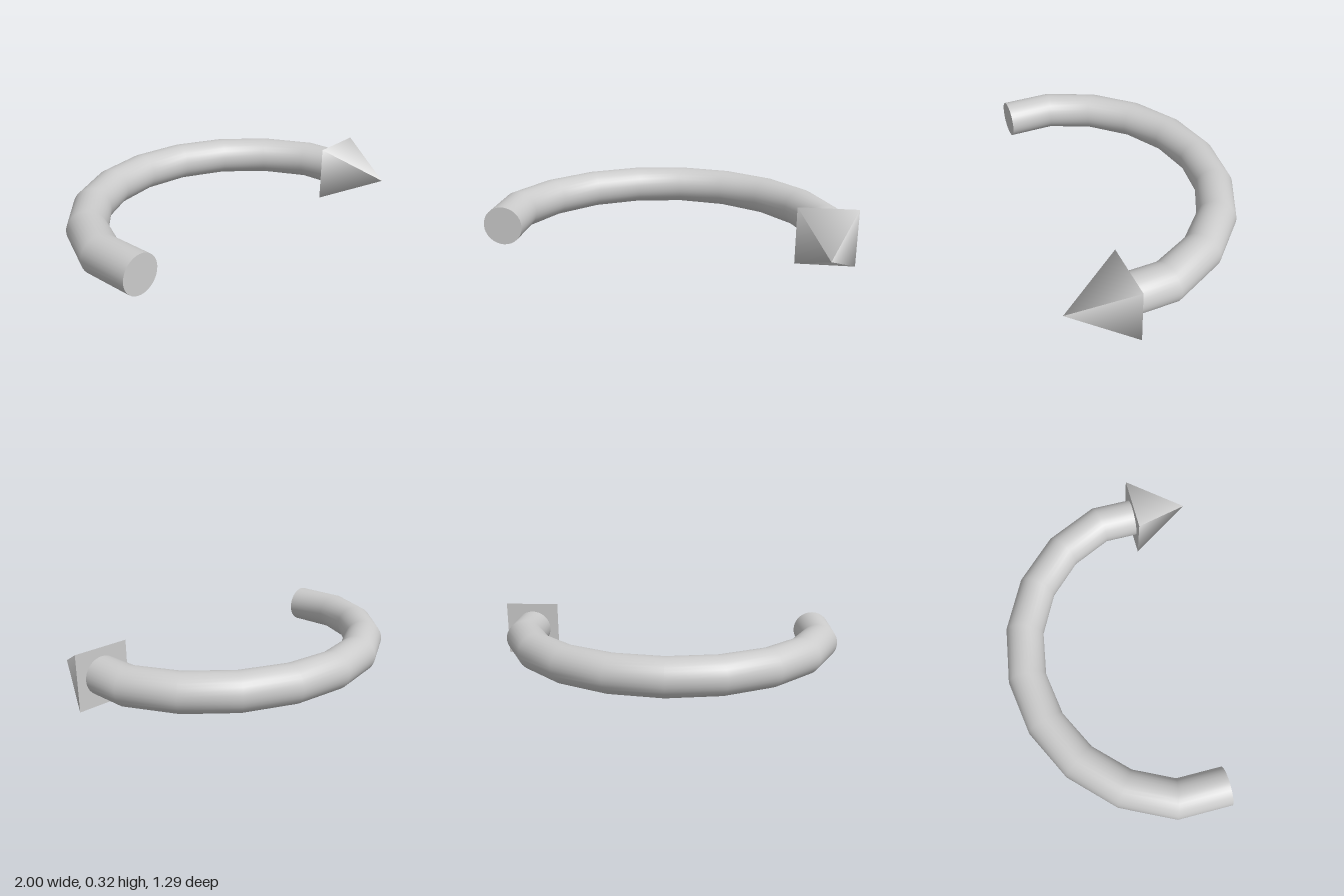
import * as THREE from 'three';

const MID_X = -0.026, MID_Y = 0.16, RADIUS = 0.107, SIDES = 32;

// Sweeps a round section along a flat polyline of [x, z] points, mitring each bend
function sweptTube(points) {
  const path = points.map(([x, z]) => new THREE.Vector3(x, MID_Y, z));
  const last = path.length - 1;
  const dir = i => path[i + 1].clone().sub(path[i]).normalize();
  const position = [], index = [];
  path.forEach((p, i) => {
    const before = dir(Math.max(i - 1, 0)), after = dir(Math.min(i, last - 1));
    const t = before.clone().add(after).normalize();
    const wide = RADIUS / t.dot(after);
    for (let j = 0; j < SIDES; j++) {
      const a = j / SIDES * Math.PI * 2, out = Math.cos(a) * wide;
      position.push(p.x + t.z * out, p.y + Math.sin(a) * RADIUS, p.z - t.x * out);
      if (i < last) {
        const k = (j + 1) % SIDES, r = i * SIDES, s = r + SIDES;
        index.push(r + j, r + k, s + j, r + k, s + k, s + j);
      }
    }
  });
  const geometry = new THREE.BufferGeometry();
  geometry.setAttribute('position', new THREE.Float32BufferAttribute(position, 3));
  geometry.setIndex(index);
  geometry.computeVertexNormals();
  return geometry;
}

export function createModel() {
  const group = new THREE.Group();
  const material = new THREE.MeshStandardMaterial({ color: 0xcccccc });
  const add = (name, geometry, x = 0, y = 0, z = 0) => {
    const mesh = new THREE.Mesh(geometry, material);
    mesh.name = name;
    mesh.position.set(x, y, z);
    group.add(mesh);
  };

  // Curved shaft: half the bend as offsets from the middle, mirrored for the other half
  const half = [[0.867, 0.10], [0.743, -0.158], [0.541, -0.362], [0.285, -0.492]];
  const path = [
    [MID_X - 0.867, 0.38],
    ...half.map(([x, z]) => [MID_X - x, z]),
    [MID_X, -0.537],
    ...half.slice().reverse().map(([x, z]) => [MID_X + x, z]),
    [MID_X + 0.867, 0.31],
  ];
  add('curvedShaft', sweptTube(path));

  // Flat end of the tail
  add('tailCap', new THREE.CircleGeometry(RADIUS, SIDES), MID_X - 0.867, MID_Y, 0.38);

  // Square pyramid head pointing forward
  const head = new THREE.ConeGeometry(0.158 * Math.SQRT2, 0.333, 4);
  head.rotateY(Math.PI / 4).rotateX(Math.PI / 2);
  add('arrowHead', head, 0.842, 0.158, 0.31 + 0.333 / 2);

  return group;
}
